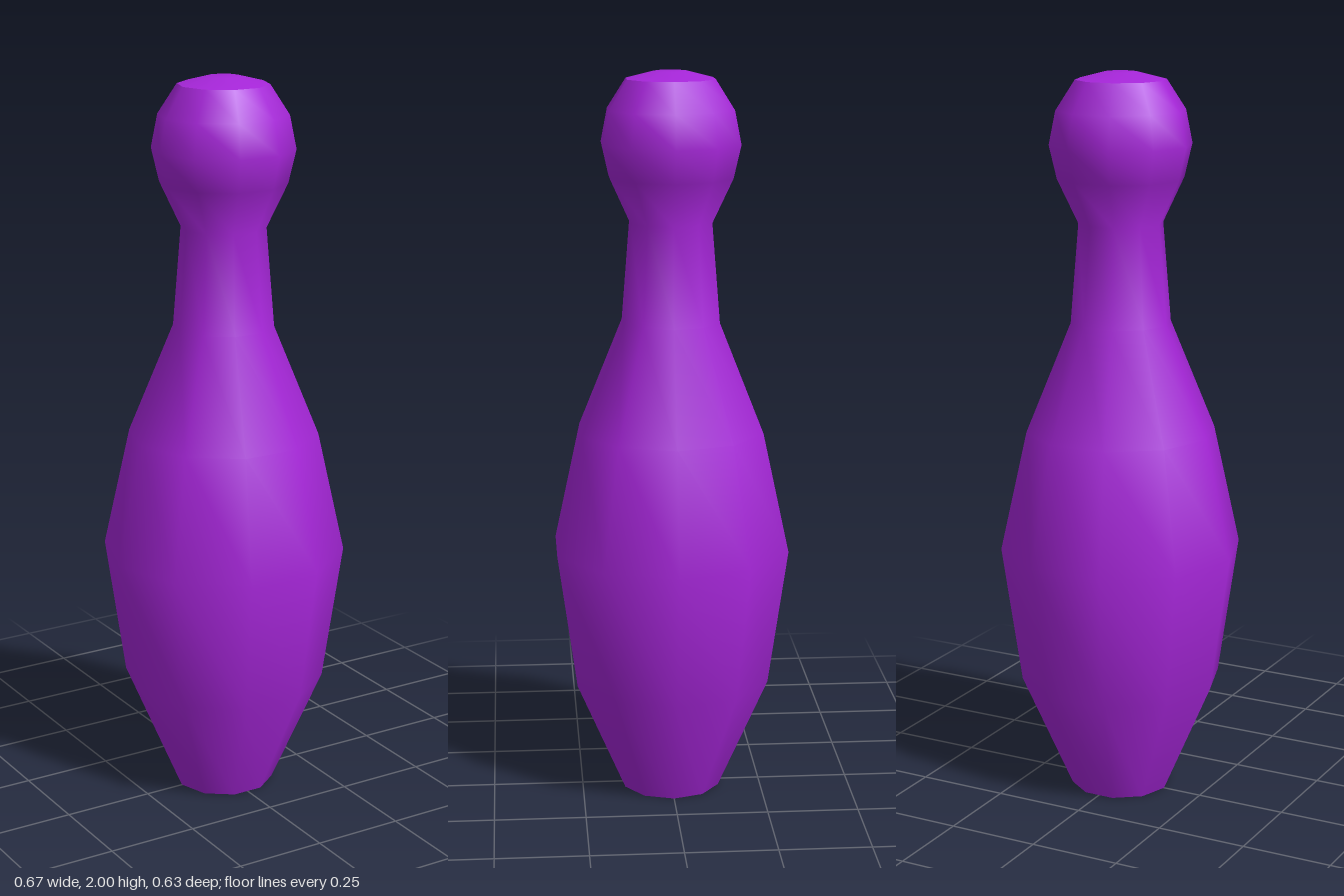
import * as THREE from 'three';

const SIDES = 10;

export function createModel() {
  const group = new THREE.Group();
  group.name = 'skittle';
  const material = new THREE.MeshStandardMaterial({ color: 0xa626d9 });

  // Revolves a [radius, height] profile, with a corner on the x axis
  const addLathe = (name, profile) => {
    const points = profile.map(([r, y]) => new THREE.Vector2(r, y));
    const mesh = new THREE.Mesh(new THREE.LatheGeometry(points, SIDES, Math.PI / 2), material);
    mesh.name = name;
    group.add(mesh);
  };

  // Belly, neck and head in one smooth skin
  addLathe('body', [
    [0.138, 0], [0.278, 0.32], [0.333, 0.7], [0.26, 1.03], [0.137, 1.33],
    [0.115, 1.6], [0.172, 1.72], [0.193, 1.81], [0.175, 1.9], [0.123, 1.98],
  ]);

  // Separate caps keep the rims sharp
  addLathe('topCap', [[0.123, 1.98], [0.045, 2], [0, 2]]);
  addLathe('base', [[0, 0], [0.138, 0]]);

  return group;
}
